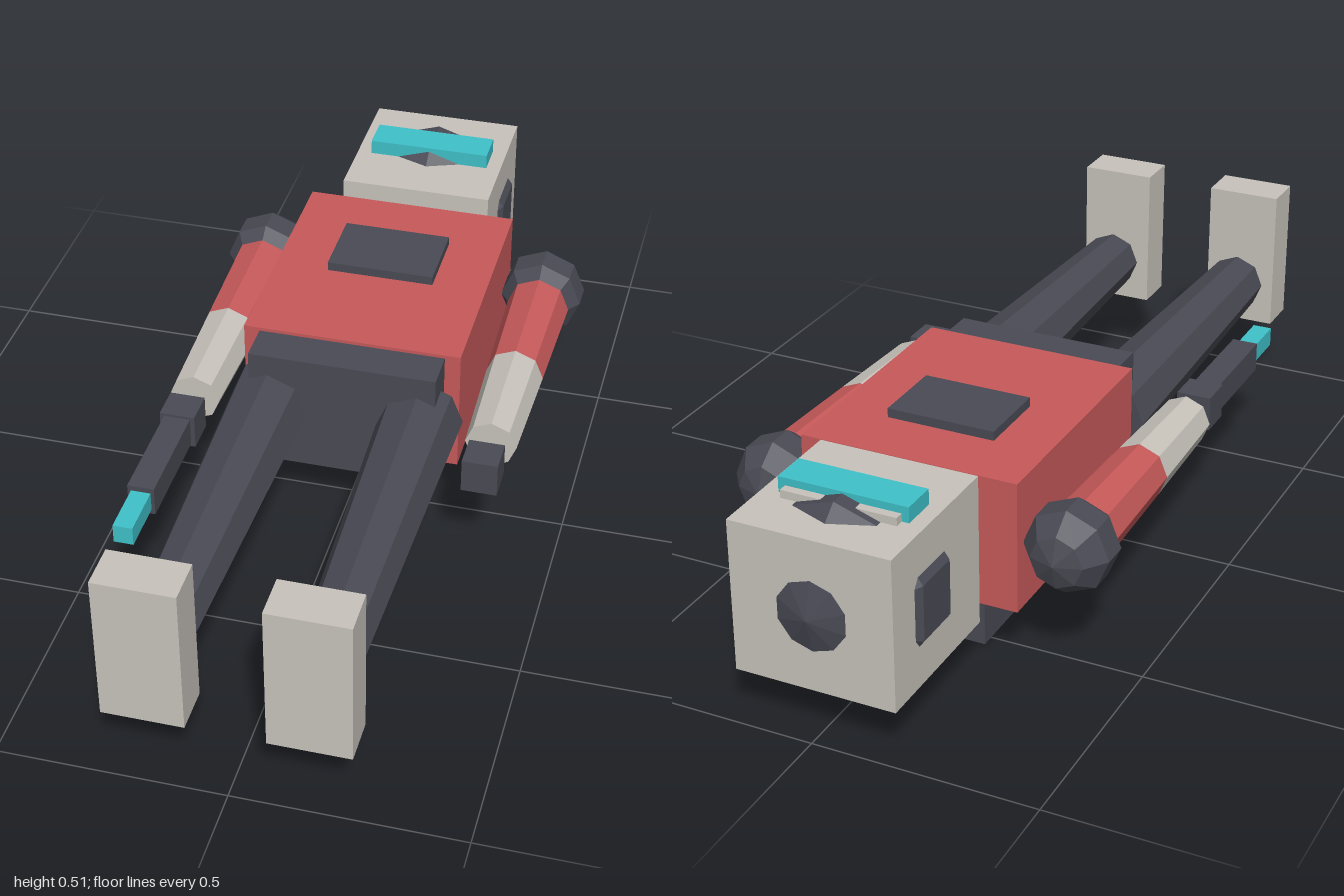
import * as THREE from 'three';

// Low-poly robot lying on its back: head towards -z, feet towards +z, face up.
export function createModel() {
  const robot = new THREE.Group();
  robot.name = 'robot';
  const paint = (name, color) => {
    const m = new THREE.MeshStandardMaterial({ color });
    m.name = name;
    return m;
  };
  const red = paint('red armour', 0xc85a5a);
  const dark = paint('dark metal', 0x4a4a55);
  const grey = paint('pale grey', 0xc8c4bc);
  const cyan = paint('cyan glow', 0x3fc1c9);
  const MID = 0.284; // height of the body axis

  const add = (name, geometry, material) => {
    const faceted = geometry.index ? geometry.toNonIndexed() : geometry;
    faceted.computeVertexNormals(); // one normal per facet
    const mesh = new THREE.Mesh(faceted, material);
    mesh.name = name;
    robot.add(mesh);
    return mesh;
  };
  // Box given by its limits on each axis
  const box = (name, material, [x0, x1], [y0, y1], [z0, z1]) =>
    add(name, new THREE.BoxGeometry(x1 - x0, y1 - y0, z1 - z0), material)
      .position.set((x0 + x1) / 2, (y0 + y1) / 2, (z0 + z1) / 2);
  // Eight-sided tapered limb running along z
  const limb = (name, material, x, z0, z1, r0, r1) =>
    add(name, new THREE.CylinderGeometry(r1, r0, z1 - z0, 8).rotateX(Math.PI / 2), material)
      .position.set(x, MID, (z0 + z1) / 2);
  // Faceted ball with its poles along z
  const ball = (name, material, x, z, rxy, rz, sides) =>
    add(name, new THREE.SphereGeometry(1, sides, 5).rotateY(Math.PI / 2).rotateX(Math.PI / 2)
      .scale(rxy, rxy, rz), material).position.set(x, MID, z);

  // Torso
  box('torso', red, [-0.25, 0.25], [0.133, 0.435], [-0.578, 0.008]);
  box('chestPanel', dark, [-0.125, 0.125], [0.42, 0.456], [-0.43, -0.255]);
  box('backpack', dark, [-0.15, 0.15], [0, 0.16], [-0.53, -0.13]);
  box('pelvis', dark, [-0.214, 0.214], [0.141, 0.427], [-0.02, 0.1]);

  // Head
  limb('neck', dark, 0, -0.64, -0.56, 0.07, 0.07);
  box('head', grey, [-0.181, 0.181], [0.112, 0.456], [-0.978, -0.614]);
  ball('helmetDome', dark, 0, -0.82, 0.213, 0.18, 10);
  box('brow', grey, [-0.13, 0.13], [0.44, 0.474], [-0.86, -0.8]);
  box('visor', cyan, [-0.146, 0.146], [0.455, 0.491], [-0.84, -0.758]);

  // Arms and legs, mirrored
  for (const s of [-1, 1]) {
    const side = s > 0 ? 'left' : 'right';
    const ax = s * 0.343;
    const lx = s * 0.172;
    ball(side + 'Shoulder', dark, ax, -0.513, 0.101, 0.1, 8);
    limb(side + 'UpperArm', red, ax, -0.51, -0.165, 0.075, 0.066);
    limb(side + 'Forearm', grey, ax, -0.165, 0.105, 0.066, 0.058);
    box(side + 'Hand', dark, [ax - 0.04, ax + 0.04], [MID - 0.04, MID + 0.04], [0.15, 0.228]);
    limb(side + 'Leg', dark, lx, 0.04, 0.875, 0.094, 0.068);
    box(side + 'Foot', grey, [lx - 0.088, lx + 0.088], [0.171, 0.515], [0.9, 1]);
  }

  // Blaster in the right hand
  const gx = -0.343;
  box('blasterBody', dark, [gx - 0.03, gx + 0.03], [MID - 0.034, MID + 0.034], [0.22, 0.48]);
  box('blasterTip', cyan, [gx - 0.022, gx + 0.022], [MID - 0.022, MID + 0.022], [0.48, 0.6]);

  return robot;
}
